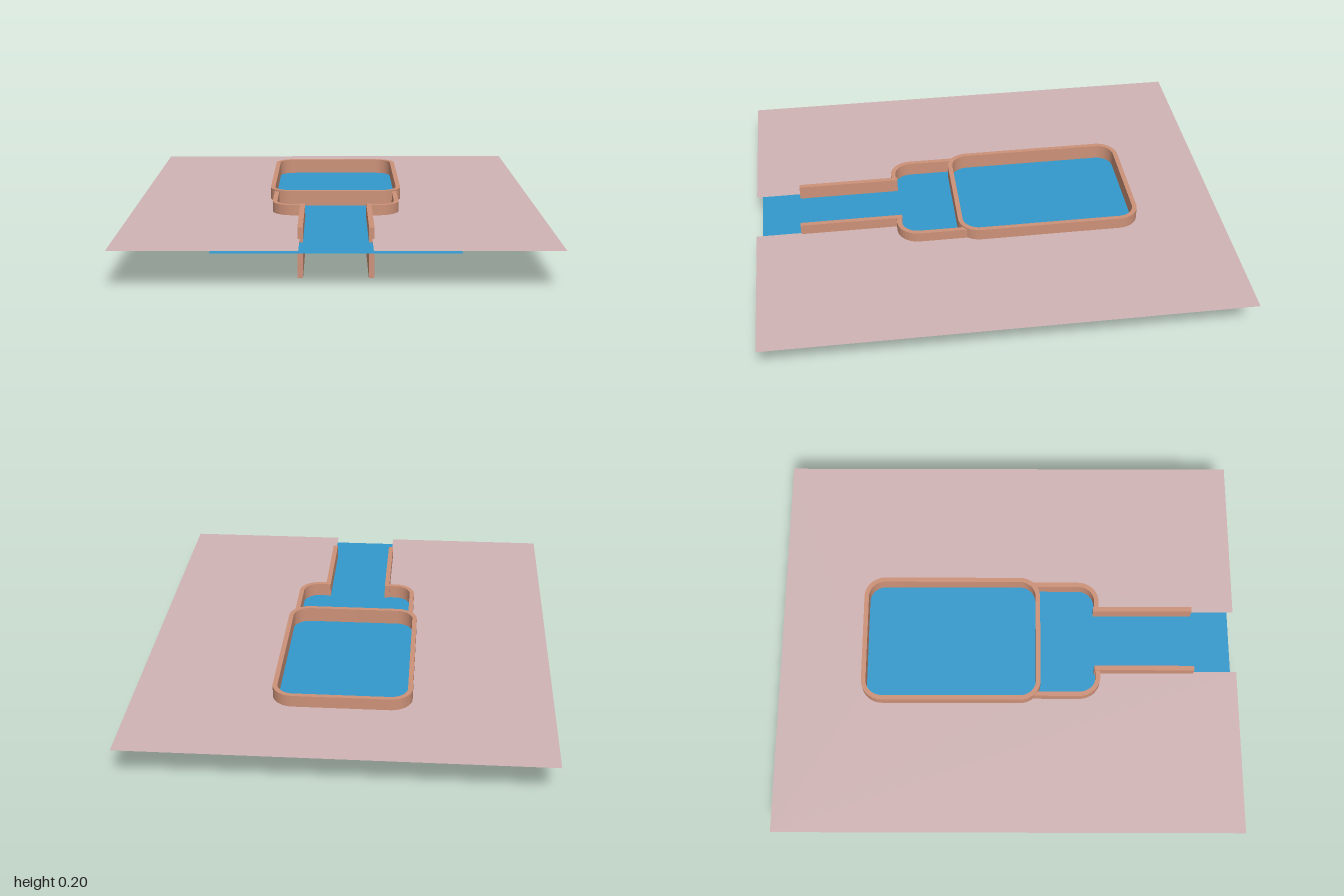
import * as THREE from 'three';
import { toCreasedNormals } from 'three/addons/utils/BufferGeometryUtils.js';

const PI = Math.PI;
const wallMat = new THREE.MeshStandardMaterial({ color: 0xcc9178 });
const deckMat = new THREE.MeshStandardMaterial({ color: 0xd0b4b4, side: THREE.DoubleSide });
const waterMat = new THREE.MeshStandardMaterial({ color: 0x3399cc, side: THREE.DoubleSide });

// Plans are drawn with x right and y = -z, then laid flat.
function add(group, name, geometry, material, y = 0) {
  geometry.rotateX(-PI / 2).translate(0, y, 0);
  const mesh = new THREE.Mesh(geometry, material);
  mesh.name = name;
  group.add(mesh);
}

function wall(shape, height) {
  const g = new THREE.ExtrudeGeometry(shape, { depth: height, bevelEnabled: false, curveSegments: 12 });
  return toCreasedNormals(g, PI / 6);
}

// Rounded rectangle from half-width, y range and corner radius
function roundedRect(path, w, y0, y1, r) {
  path.absarc(w - r, y1 - r, r, 0, PI / 2, false);
  path.absarc(-w + r, y1 - r, r, PI / 2, PI, false);
  path.absarc(-w + r, y0 + r, r, PI, 1.5 * PI, false);
  path.absarc(w - r, y0 + r, r, 1.5 * PI, 2 * PI, false);
  path.closePath();
  return path;
}

// One curved side wall of the shallow basin; s = 1 left, -1 right
function shallowSide(s) {
  const arc = (shape, r, from, to, clockwise) =>
    s > 0 ? shape.absarc(0.175, -0.31, r, from, to, clockwise)
      : shape.absarc(-0.175, -0.31, r, PI - from, PI - to, !clockwise);
  const shape = new THREE.Shape();
  shape.moveTo(s * 0.245, -0.11);
  shape.lineTo(s * 0.265, -0.11);
  arc(shape, 0.09, 0, -PI / 2, true);
  shape.lineTo(s * 0.14, -0.4);
  shape.lineTo(s * 0.14, -0.38);
  arc(shape, 0.07, -PI / 2, 0, false);
  shape.closePath();
  return shape;
}

// Deck sheet with an opening that runs out through its front edge
function deckShape() {
  const d = new THREE.Shape();
  d.moveTo(-0.855, 1);
  d.lineTo(-0.855, -1);
  d.lineTo(-0.14, -1);
  d.lineTo(-0.14, -0.39);
  d.absarc(-0.175, -0.31, 0.08, -PI / 2, -PI, true);
  d.lineTo(-0.255, -0.1);
  d.lineTo(-0.275, -0.05);
  d.absarc(-0.195, 0.55, 0.08, PI, PI / 2, true);
  d.absarc(0.195, 0.55, 0.08, PI / 2, 0, true);
  d.lineTo(0.275, -0.05);
  d.lineTo(0.255, -0.1);
  d.absarc(0.175, -0.31, 0.08, 0, -PI / 2, true);
  d.lineTo(0.14, -0.39);
  d.lineTo(0.14, -1);
  d.lineTo(0.855, -1);
  d.lineTo(0.855, 1);
  d.closePath();
  return d;
}

export function createModel() {
  const group = new THREE.Group();
  group.name = 'pool';

  // Flat sheets
  add(group, 'deck', new THREE.ShapeGeometry(deckShape(), 12), deckMat, 0.155);
  add(group, 'water', new THREE.PlaneGeometry(0.945, 1.875).translate(0, -0.0375, 0), waterMat, 0.14);

  // Closed wall around the main basin
  const ring = roundedRect(new THREE.Shape(), 0.285, -0.14, 0.64, 0.09);
  ring.holes.push(roundedRect(new THREE.Path(), 0.265, -0.12, 0.62, 0.07));
  add(group, 'mainBasinWall', wall(ring, 0.205), wallMat);

  // Shallow basin and entry channel, mirrored
  for (const s of [1, -1]) {
    const side = s > 0 ? 'left' : 'right';
    add(group, side + 'ShallowWall', wall(shallowSide(s), 0.198), wallMat);
    add(group, side + 'ChannelWall',
      new THREE.BoxGeometry(0.021, 0.435, 0.2).translate(s * 0.1375, -0.5925, 0.1), wallMat);
  }
  return group;
}
